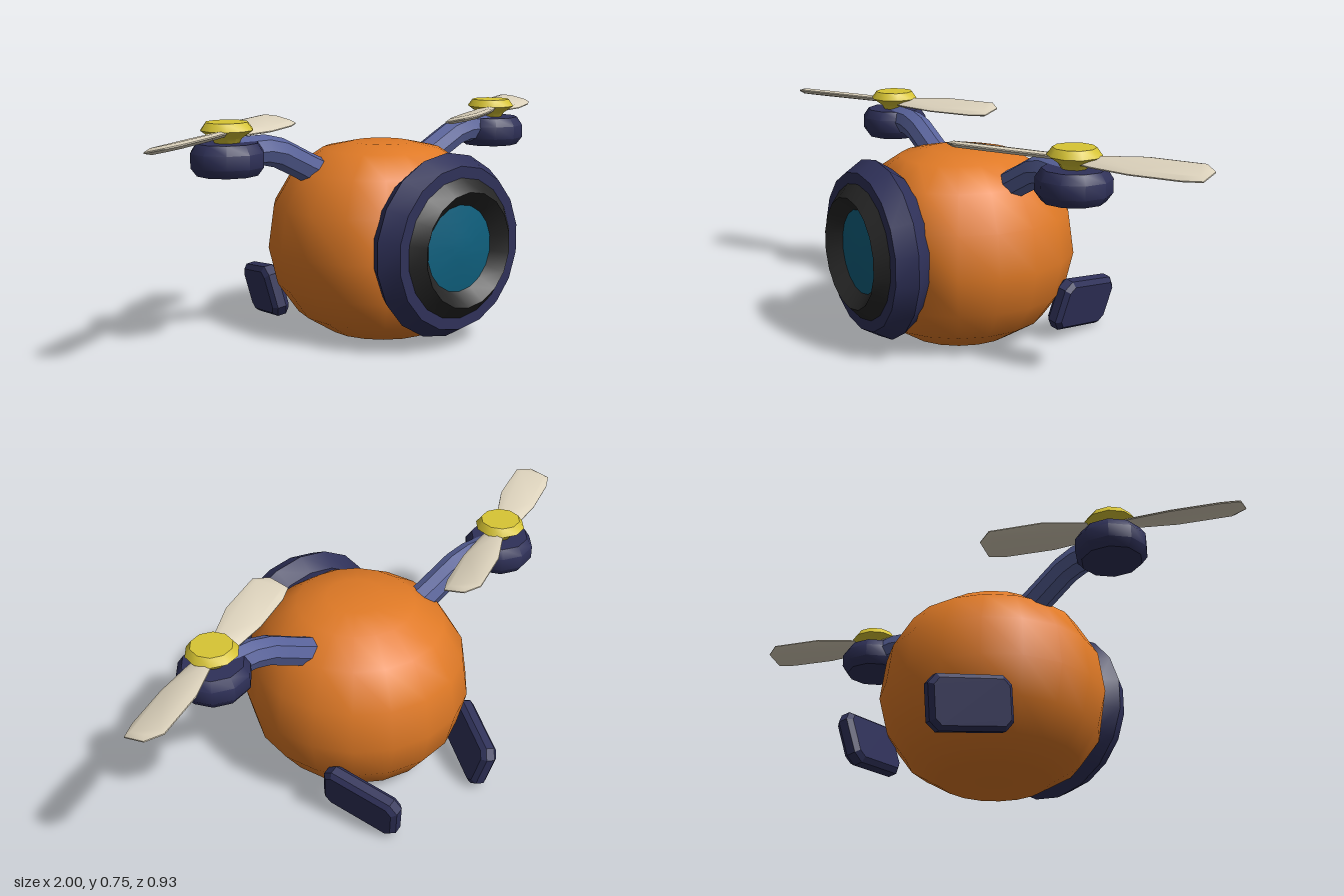
import * as THREE from 'three';
import { mergeVertices, toCreasedNormals } from 'three/addons/utils/BufferGeometryUtils.js';

const mat = (name, color) => {
  const m = new THREE.MeshStandardMaterial({ color });
  m.name = name;
  return m;
};

export function createModel() {
  const orange = mat('orange shell', 0xe07a26);
  const navy = mat('navy trim', 0x2f3159);
  const blue = mat('blue arm', 0x58629a);
  const black = mat('black rim', 0x262626);
  const teal = mat('teal lens', 0x0f607e);
  const cream = mat('cream blade', 0xdcd2bc);
  const yellow = mat('yellow hub', 0xd8c534);

  const model = new THREE.Group();
  model.name = 'drone';
  const add = (parent, name, geometry, material) => {
    const mesh = new THREE.Mesh(geometry, material);
    mesh.name = name;
    parent.add(mesh);
    return mesh;
  };
  // Turned part from [radius, height] pairs, listed so that the outside faces out
  const turned = (profile, sides) =>
    new THREE.LatheGeometry(profile.map(([r, y]) => new THREE.Vector2(r, y)), sides);
  const crease = (geometry, angle = 0.6) => toCreasedNormals(geometry, angle);

  // Round shell, flattened underneath and cut off behind the lens ring
  let shell = turned([[0, 0], [0.185, 0], [0.29, 0.065], [0.36, 0.165], [0.39, 0.295],
    [0.37, 0.44], [0.3, 0.56], [0.2, 0.628], [0.1, 0.65], [0, 0.652]], 18);
  shell.scale(1, 1, 1.025).translate(0, 0, 0.04);
  const p = shell.attributes.position;
  for (let i = 0; i < p.count; i++) p.setZ(i, Math.min(p.getZ(i), 0.33));
  shell.deleteAttribute('normal');
  shell.deleteAttribute('uv');
  shell = mergeVertices(shell, 1e-4);
  shell.computeVertexNormals();
  add(model, 'body', shell, orange);

  // Front camera: ring, rim and lens share one axis
  const camera = new THREE.Group();
  camera.name = 'camera';
  camera.position.y = 0.335;
  model.add(camera);
  const cameraPart = (name, profile, material) =>
    add(camera, name, crease(turned(profile, 18).rotateX(Math.PI / 2), 0.5), material);
  cameraPart('cameraRing',
    [[0, 0.3], [0.27, 0.3], [0.307, 0.36], [0.27, 0.425], [0.225, 0.425]], navy);
  cameraPart('cameraRim', [[0.232, 0.425], [0.19, 0.465], [0.143, 0.42]], black);
  cameraPart('cameraLens', [[0.146, 0.42], [0.045, 0.435], [0, 0.435]], teal);

  // Propeller blade outline, length along x
  const outline = [[0, 0.03], [0.074, 0.036], [0.213, 0.067], [0.396, 0.066], [0.439, 0.022],
    [0.429, -0.052], [0.367, -0.064], [0.204, -0.065], [0.07, -0.048], [0, -0.03]];
  const blade = crease(new THREE.ExtrudeGeometry(
    new THREE.Shape(outline.map(([x, y]) => new THREE.Vector2(x, y))),
    { depth: 0.004, bevelThickness: 0.008, bevelSize: 0.018, bevelOffset: -0.018, bevelSegments: 1 }
  ).translate(0, 0, -0.002));

  // Motor and hub
  const motor = crease(turned([[0, 0.588], [0.1, 0.588], [0.12, 0.615], [0.12, 0.66],
    [0.1, 0.69], [0, 0.69]], 10), 0.75);
  const hub = crease(turned([[0, 0.68], [0.035, 0.68], [0.05, 0.705], [0.086, 0.73],
    [0.068, 0.755], [0, 0.755]], 10));

  // Rear fin: chamfered slab, length along z
  const [l, h, c] = [0.145, 0.09, 0.03];
  const slab = new THREE.Shape([[-l, c - h], [c - l, -h], [l - c, -h], [l, c - h],
    [l, h - c], [l - c, h], [c - l, h], [-l, h - c]].map(([x, y]) => new THREE.Vector2(x, y)));
  const fin = crease(new THREE.ExtrudeGeometry(slab,
    { depth: 0.03, bevelThickness: 0.015, bevelSize: 0.015, bevelOffset: -0.015, bevelSegments: 1 }
  ).translate(0, 0, -0.015).rotateY(Math.PI / 2), 0.3);

  for (const s of [1, -1]) {
    const side = s > 0 ? 'left' : 'right';

    // Bent arm from shell to motor
    const path = new THREE.CatmullRomCurve3([[0.18, 0.535], [0.3, 0.59], [0.43, 0.65], [0.58, 0.652]]
      .map(([x, y]) => new THREE.Vector3(s * x, y, -0.015)));
    add(model, side + 'Arm', crease(new THREE.TubeGeometry(path, 7, 0.05, 8), 0.5), blue);

    // Rotor with two opposite, pitched blades
    const rotor = new THREE.Group();
    rotor.name = side + 'Rotor';
    rotor.position.set(s * 0.6, 0, -0.016);
    model.add(rotor);
    add(rotor, side + 'Motor', motor, navy);
    add(rotor, side + 'Hub', hub, yellow);
    for (const turn of [0, Math.PI]) {
      const b = add(rotor, side + 'Blade', blade, cream);
      b.position.y = 0.719;
      b.rotation.set(-Math.PI / 2 + 0.22, 0.506 + turn, 0, 'YXZ');
    }

    // Rear fin, leaning in towards the tail and the ground
    const f = add(model, side + 'Fin', fin, navy);
    f.position.set(s * 0.243, 0.109, -0.308);
    f.rotation.set(-0.16, s * 0.35, s * -0.22, 'YXZ');
  }
  return model;
}
